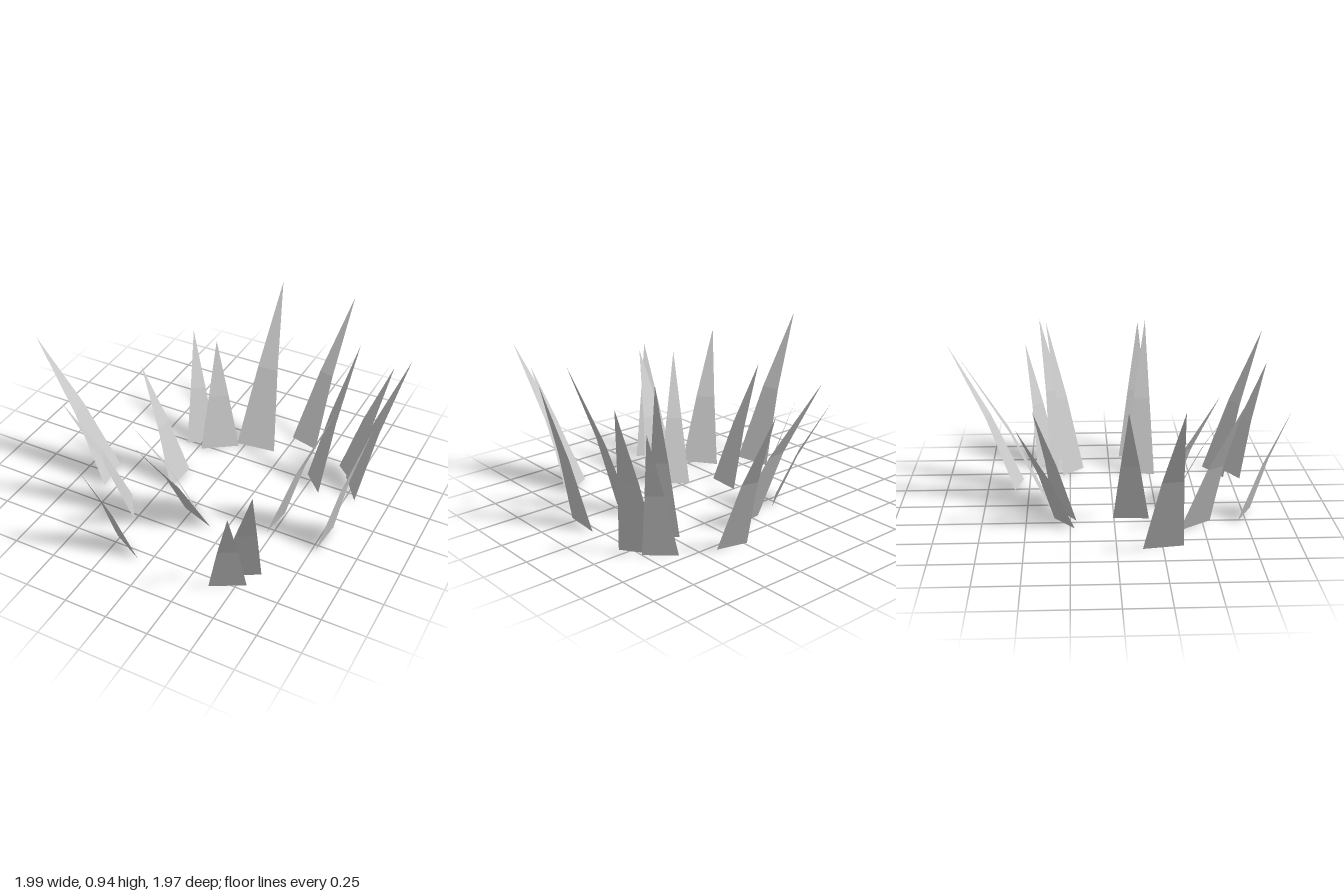
import * as THREE from 'three';

// One row per blade: base corner A (x, z), base corner B (x, z), tip (x, z), tip height
const BLADES = [
  // back row
  [-0.05, -0.37, 0.19, -0.40, 0.00, -0.87, 0.92],
  [0.235, -0.585, 0.41, -0.54, 0.43, -0.98, 0.87],
  [-0.33, -0.225, -0.19, -0.34, -0.445, -0.535, 0.63],
  [-0.225, -0.215, -0.03, -0.35, -0.24, -0.45, 0.66],
  [0.605, -0.46, 0.75, -0.33, 0.855, -0.53, 0.76],
  [0.68, -0.38, 0.805, -0.20, 0.975, -0.44, 0.89],
  [0.465, -0.295, 0.59, -0.165, 0.69, -0.39, 0.94],
  // right side
  [-0.195, -0.005, -0.21, 0.20, -0.455, 0.07, 0.72],
  [-0.605, 0.14, -0.57, 0.365, -0.995, 0.315, 0.90],
  [-0.38, 0.36, -0.25, 0.545, -0.60, 0.655, 0.79],
  // front row
  [-0.05, 0.24, 0.085, 0.355, -0.215, 0.585, 0.73],
  [-0.04, 0.32, 0.165, 0.395, -0.08, 0.755, 0.73],
  [-0.27, 0.70, -0.075, 0.805, -0.29, 0.98, 0.68],
  [0.37, 0.81, 0.55, 0.71, 0.57, 0.985, 0.70],
  [0.395, 0.71, 0.585, 0.60, 0.69, 0.965, 0.87],
  // left side
  [0.49, 0.09, 0.465, 0.28, 0.80, 0.235, 0.92],
  [0.785, 0.07, 0.77, 0.29, 0.995, 0.20, 0.86],
];

// A tapering blade with a single outward crease at half height
function bladeGeometry([ax, az, bx, bz, tx, tz, height]) {
  const a = new THREE.Vector3(ax, 0, az);
  const b = new THREE.Vector3(bx, 0, bz);
  const tip = new THREE.Vector3(tx, height, tz);
  const base = a.clone().add(b).multiplyScalar(0.5);
  const mid = base.clone().lerp(tip, 0.435).setY(height / 2);
  const half = b.clone().sub(a).multiplyScalar(0.26);
  const ma = mid.clone().sub(half);
  const mb = mid.clone().add(half);
  const geometry = new THREE.BufferGeometry().setFromPoints([a, b, mb, a, mb, ma, ma, mb, tip]);
  geometry.computeVertexNormals();
  return geometry;
}

export function createModel() {
  const group = new THREE.Group();
  group.name = 'grassTuft';
  const grey = new THREE.MeshStandardMaterial({ color: 0xcccccc, side: THREE.DoubleSide });
  grey.name = 'light grey';

  BLADES.forEach((row, i) => {
    const blade = new THREE.Mesh(bladeGeometry(row), grey);
    blade.name = `grassBlade${i + 1}`;
    group.add(blade);
  });
  return group;
}
